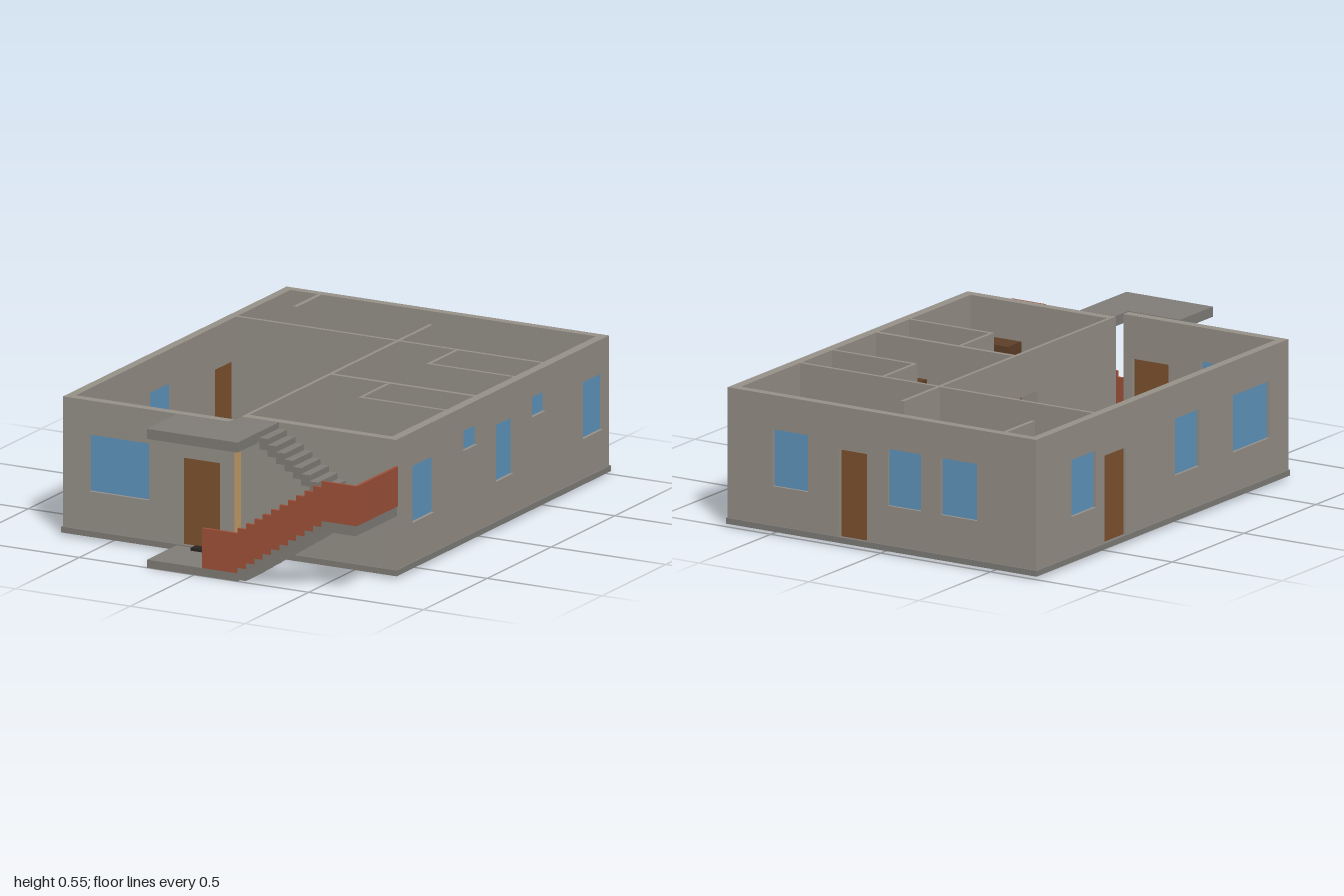
import * as THREE from 'three';

const mats = {};
const mat = (color) => (mats[color] ??= new THREE.MeshStandardMaterial({ color }));
const WALL = 0x98928a, STONE = 0x827f7a, GLASS = 0x6098c0, DOOR = 0x80532f, BRICK = 0xa0523a;
const DARK = 0x5f4028, WHITE = 0xd2d2ce, LINEN = 0xc8c2b4;
const BASE = 0.035, TOP = 0.55;

export function createModel() {
  const house = new THREE.Group();
  house.name = 'house';

  const add = (name, geometry, color, parent = house) => {
    const mesh = new THREE.Mesh(geometry, mat(color));
    mesh.name = name;
    parent.add(mesh);
    return mesh;
  };
  // Box given by its limits on each axis
  const box = (name, color, x0, x1, y0, y1, z0, z1, parent) => {
    const mesh = add(name, new THREE.BoxGeometry(x1 - x0, y1 - y0, z1 - z0), color, parent);
    mesh.position.set((x0 + x1) / 2, (y0 + y1) / 2, (z0 + z1) / 2);
    return mesh;
  };
  // Flat plate from an outline of [x, z] corners
  const plate = (name, color, y0, y1, corners) => {
    const shape = new THREE.Shape(corners.map(([x, z]) => new THREE.Vector2(x, z)));
    const mesh = add(name, new THREE.ExtrudeGeometry(shape, { depth: y1 - y0, bevelEnabled: false }), color);
    mesh.rotation.x = Math.PI / 2;
    mesh.position.y = y1;
  };
  // Wall along x or z, c0..c1 thick, a..b long. Openings: [type, from, to, low, high]
  const wall = (name, axis, c0, c1, a, b, openings = []) => {
    const group = new THREE.Group();
    group.name = name;
    house.add(group);
    const shape = new THREE.Shape().moveTo(a, BASE);
    for (const [type, u0, u1, , high = 0.38] of openings) {
      if (type === 'window') continue;
      shape.lineTo(u0, BASE).lineTo(u0, high).lineTo(u1, high).lineTo(u1, BASE);
    }
    shape.lineTo(b, BASE).lineTo(b, TOP).lineTo(a, TOP).closePath();
    const mid = (c0 + c1) / 2;
    for (const [type, u0, u1, low = 0.19, high = type === 'window' ? 0.415 : 0.38] of openings) {
      if (type === 'window') {
        shape.holes.push(new THREE.Path().moveTo(u0, low).lineTo(u0, high)
          .lineTo(u1, high).lineTo(u1, low).closePath());
      }
      if (type === 'gap') continue;
      const [color, y0] = type === 'window' ? [GLASS, low] : [DOOR, BASE];
      const t = 0.006;
      if (axis === 'x') box(type, color, u0, u1, y0, high, mid - t, mid + t, group);
      else box(type, color, mid - t, mid + t, y0, high, u0, u1, group);
    }
    const mesh = add(name + 'Panel',
      new THREE.ExtrudeGeometry(shape, { depth: c1 - c0, bevelEnabled: false }), WALL, group);
    if (axis === 'x') mesh.position.z = c0;
    else {
      mesh.rotation.y = -Math.PI / 2;
      mesh.position.x = c1;
    }
  };

  // Ground slab, stepped back beside the entrance
  plate('groundSlab', STONE, 0.012, BASE,
    [[-0.71, -1], [0.705, -1], [0.705, 0.68], [0.022, 0.68], [0.022, 0.765], [-0.71, 0.765]]);

  // Outer walls
  wall('backWall', 'x', -0.995, -0.96, -0.67, 0.662, [
    ['window', -0.435, -0.27], ['window', -0.18, -0.03], ['door', 0.065, 0.19], ['window', 0.335, 0.495]]);
  wall('frontWall', 'x', 0.722, 0.76, -0.67, 0.022, [['window', -0.59, -0.33], ['door', -0.185, -0.02]]);
  wall('bedroomFrontWall', 'x', 0.638, 0.675, 0.04, 0.662);
  wall('leftWall', 'z', -0.705, -0.67, -0.995, 0.76, [
    ['window', -0.75, -0.58], ['door', -0.52, -0.37], ['window', -0.03, 0.14], ['window', 0.375, 0.63]]);
  wall('rightWall', 'z', 0.662, 0.7, -0.995, 0.675, [
    ['window', -0.947, -0.79], ['window', -0.497, -0.39, 0.375, 0.455], ['window', -0.246, -0.107],
    ['window', 0.037, 0.145, 0.375, 0.455], ['window', 0.375, 0.545]]);

  // Inner walls
  wall('hallBedroomWall', 'z', 0.025, 0.04, -0.535, 0.675, [['gap', -0.485, -0.355], ['gap', 0.01, 0.13]]);
  wall('diningKitchenWall', 'z', 0.025, 0.04, -0.8, -0.55);
  wall('diningHallWall', 'x', -0.55, -0.535, -0.67, 0.662, [['gap', -0.18, -0.02]]);
  wall('bedroomDividerWall', 'x', -0.02, -0.002, 0.04, 0.662);
  wall('alcoveWall', 'z', -0.55, -0.533, -0.96, -0.765);

  // Room floors
  const floors = [
    ['hall', 0xa58355, -0.67, 0.025, -0.535, 0.722], ['dining', 0xbc885c, -0.67, 0.025, -0.96, -0.55],
    ['kitchen', 0xbba748, 0.04, 0.662, -0.96, -0.55], ['alcove', 0xc0962c, -0.67, -0.55, -0.96, -0.765, 0.002],
    ['smallBedroom', 0x8d70b8, 0.04, 0.662, -0.535, -0.02], ['mainBedroom', 0x5680b8, 0.04, 0.662, -0.002, 0.638],
  ];
  for (const [name, color, x0, x1, z0, z1, lift = 0] of floors) {
    box(name + 'Floor', color, x0, x1, BASE, 0.039 + lift, z0, z1);
  }

  // Two matching bathrooms
  for (const z of [-0.535, 0]) {
    wall('bathroomSideWall', 'z', 0.284, 0.298, z, z + 0.21, [['gap', z + 0.09, z + 0.18]]);
    wall('bathroomEndWall', 'x', z + 0.21, z + 0.224, 0.284, 0.662);
    box('bathroomFloor', 0x3da094, 0.298, 0.662, BASE, 0.042, z, z + 0.21);
    box('showerFloor', 0x2c7a72, 0.505, 0.662, BASE, 0.045, z + 0.16, z + 0.21);
    box('showerTray', WHITE, 0.505, 0.662, BASE, 0.06, z + 0.01, z + 0.165);
    box('basin', WHITE, 0.31, 0.375, 0.12, 0.16, z, z + 0.07);
    box('basinStand', WHITE, 0.33, 0.355, 0.04, 0.12, z, z + 0.04);
    box('toiletTank', WHITE, 0.428, 0.482, 0.04, 0.165, z, z + 0.03);
    box('toiletBowl', WHITE, 0.433, 0.477, 0.04, 0.105, z + 0.03, z + 0.11);
    const head = add('showerHead', new THREE.CylinderGeometry(0.009, 0.009, 0.01, 12), 0x333333);
    head.position.set(0.585, 0.4, z + 0.012);
  }

  // Beds and wardrobes
  const bed = (x1, z0, z1, pillows) => {
    box('headboard', DARK, 0.042, 0.054, 0.039, 0.19, z0 - 0.008, z1 + 0.008);
    box('bedFrame', DARK, 0.054, x1, 0.039, 0.08, z0, z1);
    box('mattress', LINEN, 0.054, x1, 0.08, 0.12, z0 + 0.002, z1 - 0.002);
    box('footboard', DARK, x1, x1 + 0.012, 0.039, 0.13, z0, z1);
    const width = (z1 - z0) / pillows;
    for (let i = 0; i < pillows; i++) {
      const mid = z0 + width * (i + 0.5);
      box('pillow', LINEN, 0.063, 0.135, 0.12, 0.135, mid - width * 0.4, mid + width * 0.4);
    }
  };
  bed(0.37, 0.33, 0.58, 2);
  bed(0.355, -0.205, -0.05, 1);
  box('wardrobe', DARK, 0.43, 0.625, 0.039, 0.4, 0.542, 0.636);
  box('wardrobe', DARK, 0.43, 0.625, 0.039, 0.4, -0.106, -0.021);

  // Entrance platform and the canopy above it
  const porch = [[-0.205, 0.768], [0.03, 0.768], [0.03, 0.677], [0.19, 0.677], [0.19, 1], [-0.205, 1]];
  plate('entrancePlatform', STONE, 0, 0.032, porch);
  plate('canopy', STONE, 0.51, TOP, porch);
  box('doormat', 0x2b2622, -0.12, -0.05, 0.032, 0.044, 0.77, 0.81);

  // Stairs in two flights, with a stepped parapet on the lower one
  const run = 0.0365, rise = 0.0236;
  for (let i = 0; i < 10; i++) {
    const x = 0.19 + run * i, low = 0.03 + rise * (i + 1), high = TOP - rise * (i + 1);
    box('lowerStep', STONE, x, x + run, Math.max(0, low - 0.047), low, 0.85, 1);
    box('upperStep', STONE, x, x + run, high - 0.045, high, 0.677, 0.83);
    box('stairParapet', BRICK, x, x + run, low, low + 0.157, 0.988, 1);
  }
  box('landing', STONE, 0.555, 0.705, 0.25, 0.29, 0.677, 1);
  box('platformParapet', BRICK, 0.035, 0.19, 0.032, 0.19, 0.988, 1);
  box('landingFrontParapet', BRICK, 0.555, 0.71, 0.29, 0.447, 0.988, 1);
  box('landingSideParapet', BRICK, 0.698, 0.71, 0.29, 0.447, 0.677, 0.988);

  return house;
}
